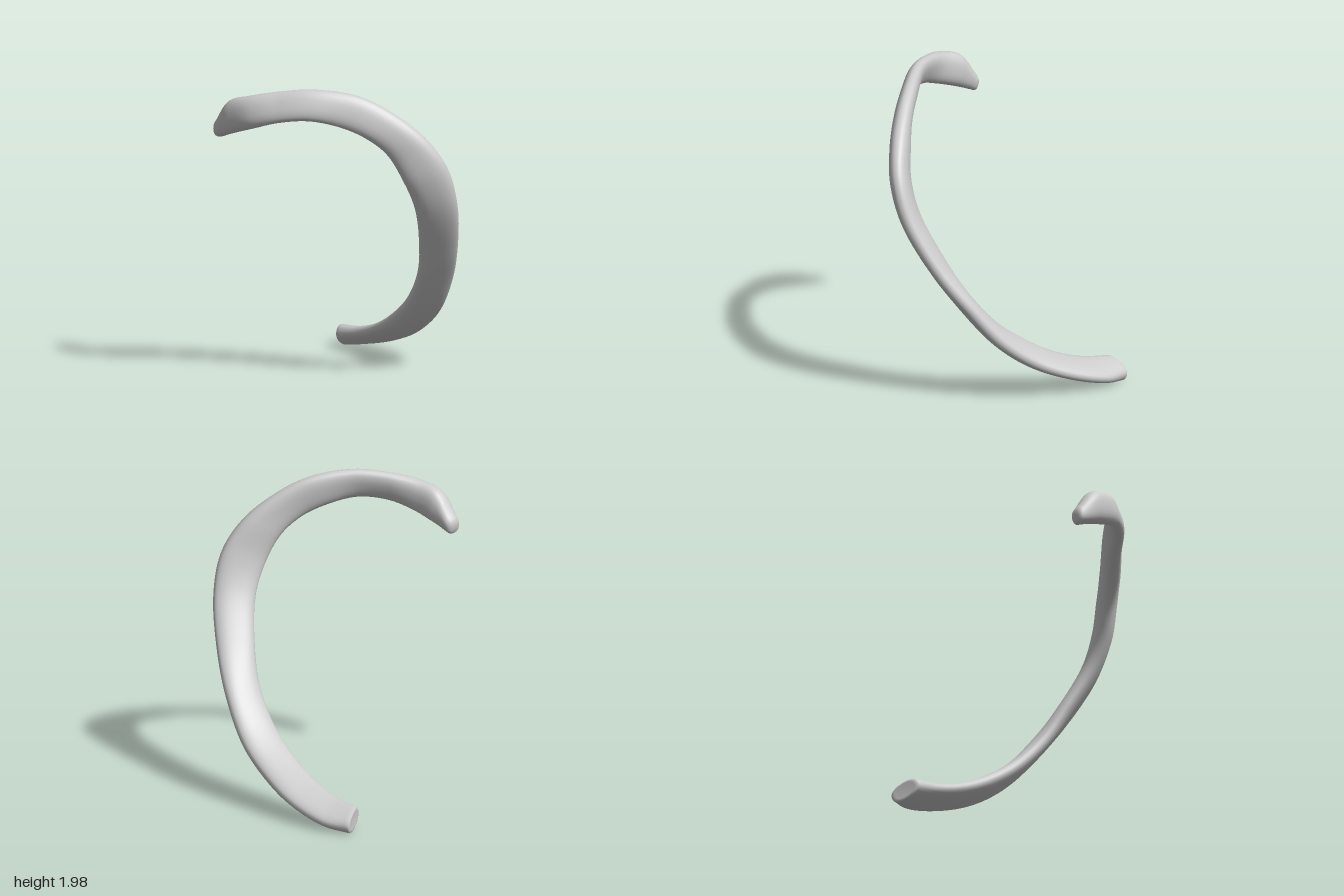
import * as THREE from 'three';

// Stations along the rib: outer edge xyz, inner edge xyz, thickness
const STATIONS = [
  [-0.37, 0.04, -0.75, -0.39, 0.13, -0.57, 0.12],
  [-0.20, 0.06, -0.72, -0.23, 0.16, -0.48, 0.10],
  [0.05, 0.14, -0.59, -0.07, 0.22, -0.37, 0.10],
  [0.25, 0.25, -0.44, 0.10, 0.33, -0.25, 0.11],
  [0.42, 0.41, -0.31, 0.27, 0.49, -0.11, 0.11],
  [0.56, 0.65, -0.16, 0.40, 0.70, 0.03, 0.11],
  [0.67, 0.90, 0.02, 0.455, 0.92, 0.14, 0.11],
  [0.74, 1.23, 0.20, 0.49, 1.20, 0.30, 0.12],
  [0.71, 1.48, 0.29, 0.45, 1.40, 0.40, 0.13],
  [0.59, 1.68, 0.36, 0.36, 1.58, 0.46, 0.13],
  [0.40, 1.84, 0.43, 0.24, 1.69, 0.53, 0.12],
  [0.19, 1.95, 0.50, 0.09, 1.76, 0.59, 0.11],
  [-0.07, 1.99, 0.59, -0.09, 1.80, 0.67, 0.10],
  [-0.29, 1.97, 0.64, -0.28, 1.78, 0.71, 0.10],
  [-0.49, 1.93, 0.67, -0.44, 1.73, 0.70, 0.13],
  [-0.63, 1.88, 0.63, -0.58, 1.68, 0.65, 0.14],
  [-0.72, 1.74, 0.57, -0.71, 1.63, 0.60, 0.11],
];
const SIDES = 28;
const STEPS = 112;

// Flattened oval swept between the two edge curves, with rounded ends
function ribGeometry() {
  const edge = (k) => new THREE.CatmullRomCurve3(
    STATIONS.map((s) => new THREE.Vector3(s[k], s[k + 1], s[k + 2])));
  const outer = edge(0);
  const inner = edge(3);
  const last = STATIONS.length - 1;
  const thicknessAt = (u) => {
    const i = Math.min(Math.floor(u * last), last - 1);
    return THREE.MathUtils.lerp(STATIONS[i][6], STATIONS[i + 1][6], u * last - i);
  };
  const middle = (u) => outer.getPoint(u).add(inner.getPoint(u)).multiplyScalar(0.5);

  // rings: position along the rib, size, and push beyond the end
  const rings = [[0, 0.72, -0.012], [0, 0.92, -0.008]];
  for (let i = 0; i <= STEPS; i++) rings.push([i / STEPS, 1, 0]);
  rings.push([1, 0.92, 0.015], [1, 0.75, 0.028], [1, 0.45, 0.037]);

  const positions = [];
  const index = [];
  const centres = [];
  const soften = (v) => Math.sign(v) * Math.abs(v) ** 0.85;
  for (const [u, size, push] of rings) {
    const tangent = middle(Math.min(u + 0.005, 1)).sub(middle(Math.max(u - 0.005, 0))).normalize();
    const centre = middle(u).addScaledVector(tangent, push);
    const wide = outer.getPoint(u).sub(inner.getPoint(u)).multiplyScalar(0.5 * size);
    const thick = tangent.clone().cross(wide).setLength(thicknessAt(u) * 0.5 * size);
    centres.push(centre);
    for (let j = 0; j < SIDES; j++) {
      const a = (j / SIDES) * Math.PI * 2;
      const p = centre.clone()
        .addScaledVector(wide, soften(Math.cos(a)))
        .addScaledVector(thick, soften(Math.sin(a)));
      positions.push(p.x, p.y, p.z);
    }
  }
  const end = rings.length - 1;
  for (let i = 0; i < end; i++) {
    for (let j = 0; j < SIDES; j++) {
      const a = i * SIDES + j;
      const b = i * SIDES + (j + 1) % SIDES;
      index.push(a, b, b + SIDES, a, b + SIDES, a + SIDES);
    }
  }
  // end caps
  const startCentre = positions.length / 3;
  positions.push(...middle(0).toArray(), ...centres[end].toArray());
  for (let j = 0; j < SIDES; j++) {
    const k = (j + 1) % SIDES;
    index.push(startCentre, k, j, startCentre + 1, end * SIDES + j, end * SIDES + k);
  }
  const geometry = new THREE.BufferGeometry();
  geometry.setAttribute('position', new THREE.Float32BufferAttribute(positions, 3));
  geometry.setIndex(index);
  geometry.computeVertexNormals();
  return geometry;
}

export function createModel() {
  const bone = new THREE.MeshStandardMaterial({ color: 0xcccccc });
  bone.name = 'bone grey';
  const rib = new THREE.Mesh(ribGeometry(), bone);
  rib.name = 'ribBone';
  const group = new THREE.Group();
  group.name = 'rib';
  group.add(rib);
  return group;
}
